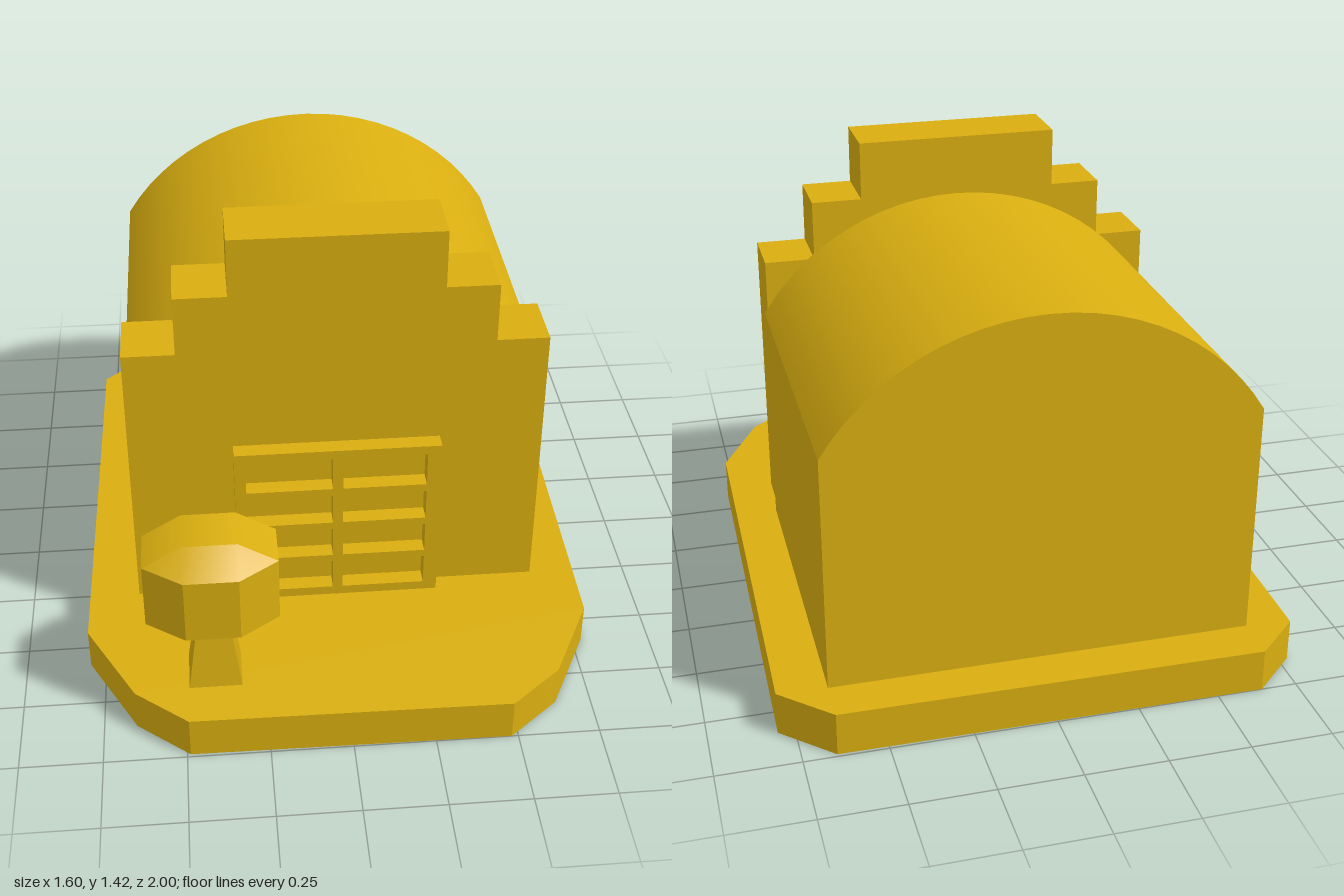
import * as THREE from 'three';
import { toCreasedNormals } from 'three/addons/utils/BufferGeometryUtils.js';
import { ConvexGeometry } from 'three/addons/geometries/ConvexGeometry.js';

const CREASE = 0.6;
const GROUND = 0.135; // top of the base slab

const shapeFrom = (points) => new THREE.Shape(points.map(([x, y]) => new THREE.Vector2(x, y)));

const extrude = (shape, depth) => toCreasedNormals(
  new THREE.ExtrudeGeometry(shape, { depth, bevelEnabled: false, curveSegments: 12 }), CREASE);

// Four points of a horizontal rectangle, given its half sizes and height
const rect = (hx, hz, y) => [[-1, -1], [1, -1], [1, 1], [-1, 1]]
  .map(([sx, sz]) => new THREE.Vector3(sx * hx, y, sz * hz));

export function createModel() {
  const model = new THREE.Group();
  model.name = 'building';
  const gold = new THREE.MeshStandardMaterial({ color: 0xd9ae10 });
  gold.name = 'gold';

  const add = (name, geometry, x = 0, y = 0, z = 0, parent = model) => {
    const mesh = new THREE.Mesh(geometry, gold);
    mesh.name = name;
    mesh.position.set(x, y, z);
    parent.add(mesh);
    return mesh;
  };

  // Base slab with cut corners, outline as [x, z]
  const outline = [
    [-0.64, -1], [0.65, -0.99], [0.8, -0.85], [0.78, 0.6], [0.64, 0.87],
    [0.48, 1], [-0.49, 0.99], [-0.65, 0.86], [-0.8, 0.58], [-0.78, -0.87],
  ];
  const baseGeometry = extrude(shapeFrom(outline.map(([x, z]) => [x, -z])), GROUND);
  baseGeometry.rotateX(-Math.PI / 2);
  add('base', baseGeometry);

  // Hall with a barrel roof
  const hall = new THREE.Shape();
  const eave = Math.atan2(0.398, 0.645);
  hall.moveTo(-0.64, GROUND);
  hall.lineTo(0.65, GROUND);
  hall.lineTo(0.65, 0.87);
  hall.absarc(0.005, 0.472, 0.758, eave, Math.PI - eave, false);
  hall.closePath();
  add('hall', extrude(hall, 1.068), 0, 0, -0.858);

  // Stepped front wall
  const right = [[0.64, GROUND], [0.64, 1.045], [0.48, 1.045], [0.48, 1.235], [0.32, 1.235], [0.32, 1.42]];
  const left = right.map(([x, y]) => [-x, y]).reverse();
  add('facade', extrude(shapeFrom([...right, ...left]), 0.2), 0, 0, 0.207);

  // Door frame with two columns of four open panels
  const door = shapeFrom([[-0.32, GROUND], [0.32, GROUND], [0.32, 0.705], [-0.32, 0.705]]);
  for (const [x0, x1] of [[-0.285, -0.016], [0.016, 0.277]]) {
    for (const [y0, y1] of [[0.166, 0.272], [0.297, 0.403], [0.428, 0.534], [0.56, 0.675]]) {
      const panel = [[x0, y0], [x0, y1], [x1, y1], [x1, y0]];
      door.holes.push(new THREE.Path(panel.map(([x, y]) => new THREE.Vector2(x, y))));
    }
  }
  add('doorFrame', extrude(door, 0.054), 0, 0, 0.406);

  // Tree: tapered trunk and a faceted crown
  const tree = new THREE.Group();
  tree.name = 'tree';
  tree.position.set(-0.405, 0, 0.775);
  model.add(tree);
  add('trunk', new ConvexGeometry([...rect(0.08, 0.075, GROUND), ...rect(0.05, 0.047, 0.35)]), 0, 0, 0, tree);
  const crown = [
    ...rect(0.05, 0.047, 0.343),
    ...[0.4, 0.61].flatMap((y) => [...rect(0.197, 0.073, y), ...rect(0.08, 0.155, y)]),
    ...rect(0.08, 0.073, 0.68),
  ];
  add('crown', toCreasedNormals(new ConvexGeometry(crown), CREASE), 0, 0, 0, tree);

  return model;
}
